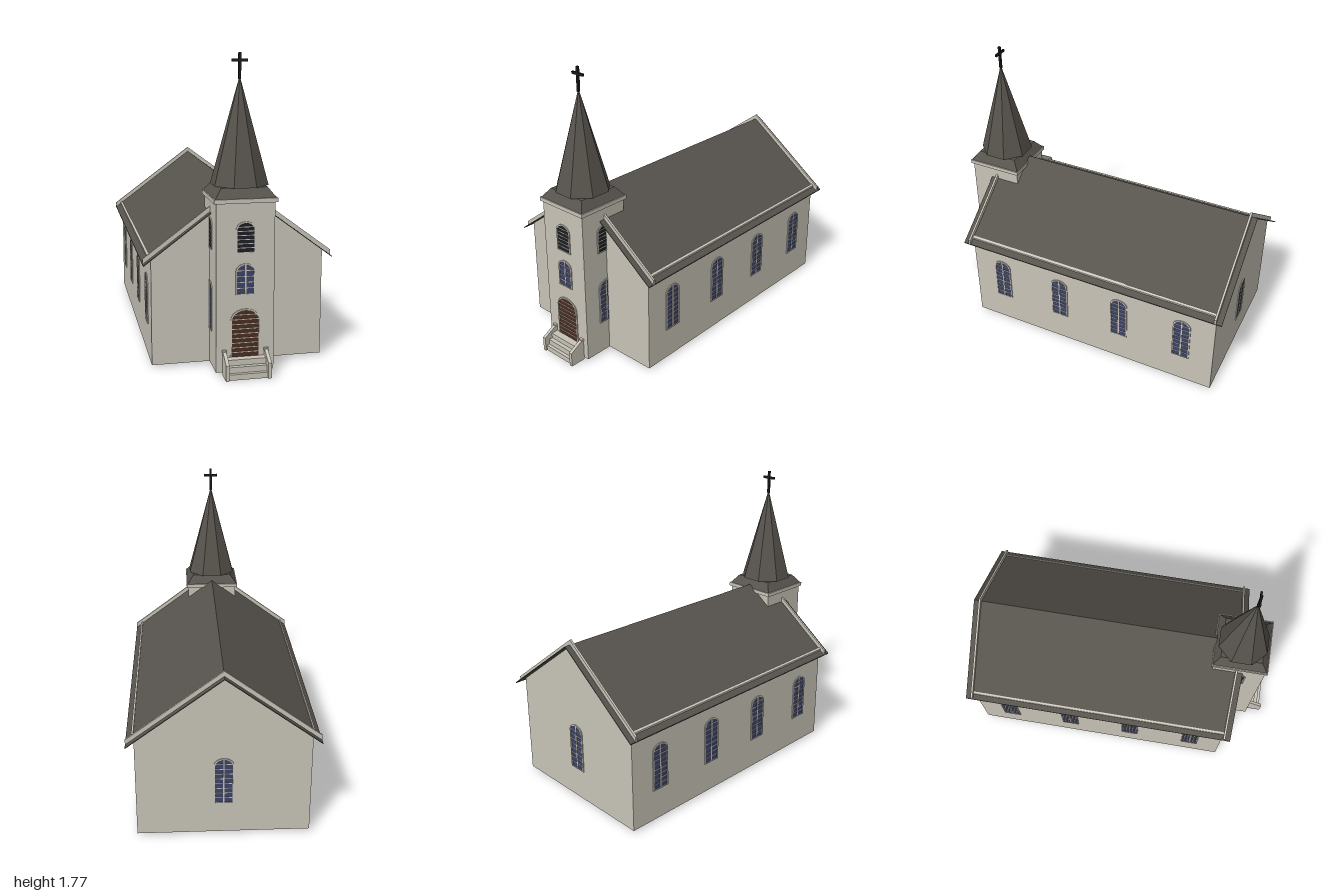
import * as THREE from 'three';

const mat = (name, color, side = THREE.FrontSide) => {
  const m = new THREE.MeshStandardMaterial({ color, side });
  m.name = name;
  return m;
};

export function createModel() {
  const church = new THREE.Group();
  church.name = 'church';
  const stone = mat('stone', 0xc8c4b8);
  const slate = mat('slate', 0x57534d);
  const glass = mat('glass', 0x3d4368);
  const louver = mat('louver', 0x1d2024);
  const wood = mat('doorWood', 0x4b2e22);
  const iron = mat('iron', 0x1b1b1d);

  const add = (parent, name, geo, material, x = 0, y = 0, z = 0) => {
    const mesh = new THREE.Mesh(geo, material);
    mesh.name = name;
    mesh.position.set(x, y, z);
    parent.add(mesh);
    return mesh;
  };
  // Box given by its limits
  const block = (parent, name, material, x0, x1, y0, y1, z0, z1) =>
    add(parent, name, new THREE.BoxGeometry(x1 - x0, y1 - y0, z1 - z0), material,
      (x0 + x1) / 2, (y0 + y1) / 2, (z0 + z1) / 2);
  // Outline in x and y, extruded from z0 to z1
  const slab = (parent, name, material, points, z0, z1) => {
    const shape = new THREE.Shape(points.map(([x, y]) => new THREE.Vector2(x, y)));
    const geo = new THREE.ExtrudeGeometry(shape, { depth: z1 - z0, bevelEnabled: false });
    return add(parent, name, geo, material, 0, 0, z0);
  };

  const base = 0.015, half = 0.5, front = 0.72, back = -0.955;
  const tw = 0.165, tBack = 0.57, tFront = 0.9, tMid = 0.735;
  const roofY = (x) => 1.02 - 0.743 * Math.abs(x);

  // Nave walls, open underneath
  const t = 0.008;
  for (const s of [-1, 1]) {
    const x0 = s > 0 ? half - t : -half;
    block(church, 'sideWall', stone, x0, x0 + t, base, roofY(half) - 0.004, back, front);
    slab(church, 'frontWall', stone, [[s * tw, base], [s * half, base],
      [s * half, roofY(half) - 0.005], [s * tw, roofY(tw) - 0.005]], front - t, front);
  }
  slab(church, 'backWall', stone, [[-half, base], [half, base], [half, roofY(half) - 0.005],
    [0, 1.015], [-half, roofY(half) - 0.005]], back, back + t);

  // Sloping strips that follow the roof pitch
  const slope = (name, material, s, x0, x1, z0, z1, top, bottom) =>
    slab(church, name, material, [[s * x0, roofY(x0) + bottom], [s * x1, roofY(x1) + bottom],
      [s * x1, roofY(x1) + top], [s * x0, roofY(x0) + top]], z0, z1);
  for (const s of [-1, 1]) {
    slope('roof', slate, s, 0, 0.547, -1, tBack, 0, -0.006);
    slope('roofBesideTower', slate, s, tw, 0.547, tBack, 0.765, 0, -0.006);
    slope('backRakeTrim', stone, s, 0, 0.547, -0.965, -0.952, 0.03, -0.004);
    slope('frontRakeTrim', stone, s, tw, 0.547, 0.717, 0.73, 0.03, -0.004);
    slope('eaveTrim', stone, s, 0.503, 0.515, -0.955, 0.72, 0.01, -0.004);
  }

  // Tower walls, with the back wall only above the roof
  block(church, 'towerFront', stone, -tw, tw, base, 0.98, tFront - t, tFront);
  block(church, 'towerBack', stone, -tw, tw, 0.86, 0.98, tBack, tBack + t);
  for (const s of [-1, 1]) {
    const x0 = s > 0 ? tw - t : -tw;
    block(church, 'towerSide', stone, x0, x0 + t, base, 0.98, tBack, tFront);
  }
  block(church, 'towerCornice', stone, -0.178, 0.178, 0.972, 0.996, tMid - 0.177, tMid + 0.177);

  // Flared cap and octagonal spire
  const cap = new THREE.CylinderGeometry(0.13 * Math.SQRT2, 0.172 * Math.SQRT2, 0.056, 4).toNonIndexed();
  cap.rotateY(Math.PI / 4);
  cap.computeVertexNormals();
  add(church, 'spireSkirt', cap, slate, 0, 1.023, tMid);
  const spire = new THREE.ConeGeometry(0.153 / Math.cos(Math.PI / 8), 0.6, 8).toNonIndexed();
  spire.rotateY(Math.PI / 8);
  spire.computeVertexNormals();
  add(church, 'spire', spire, slate, 0, 1.35, tMid);
  block(church, 'crossPost', iron, -0.007, 0.007, 1.63, 1.775, tMid - 0.007, tMid + 0.007);
  block(church, 'crossArm', iron, -0.045, 0.045, 1.725, 1.74, tMid - 0.006, tMid + 0.006);

  // Arched openings
  const arch = (Type, w, y0, y1, rise) => {
    const p = new Type();
    p.moveTo(-w, y0);
    p.lineTo(w, y0);
    p.lineTo(w, y1 - rise);
    p.absellipse(0, y1 - rise, w, rise, 0, Math.PI, false, 0);
    p.closePath();
    return p;
  };
  const extrude = (shape, depth) =>
    new THREE.ExtrudeGeometry(shape, { depth, bevelEnabled: false, curveSegments: 5 });
  const opening = (name, material, w, y0, y1, x, z, turn, rows, mullion) => {
    const g = new THREE.Group();
    g.name = name;
    g.position.set(x, 0, z);
    g.rotation.y = turn;
    church.add(g);
    const rise = w * 0.8;
    add(g, 'panel', extrude(arch(THREE.Shape, w, y0, y1, rise), 0.018), material, 0, 0, -0.016);
    const ring = arch(THREE.Shape, w + 0.007, y0 - 0.005, y1 + 0.007, rise + 0.003);
    ring.holes.push(arch(THREE.Path, w, y0, y1, rise));
    add(g, 'surround', extrude(ring, 0.006), stone);
    for (let i = 1; i < rows; i++) {
      const y = y0 + (y1 - y0) * i / rows;
      const k = Math.max(0, (y - (y1 - rise)) / rise);
      const hw = w * Math.sqrt(1 - k * k);
      block(g, 'bar', stone, -hw, hw, y - 0.002, y + 0.002, 0, 0.004);
    }
    if (mullion) block(g, 'mullion', stone, -0.004, 0.004, y0, y1, 0, 0.005);
  };
  const q = Math.PI / 2;
  for (const s of [-1, 1]) {
    for (const z of [0.515, 0.095, -0.325, -0.745])
      opening('naveWindow', glass, 0.05, 0.215, 0.498, s * half, z, s * q, 9, true);
    opening('towerSideWindow', glass, 0.05, 0.225, 0.498, s * tw, tMid, s * q, 9, true);
    opening('towerSideLouver', louver, 0.05, 0.70, 0.863, s * tw, tMid, s * q, 7, false);
  }
  opening('backWindow', glass, 0.05, 0.215, 0.498, 0, back, Math.PI, 9, true);
  opening('towerFrontWindow', glass, 0.048, 0.463, 0.628, 0, tFront, 0, 5, true);
  opening('towerFrontLouver', louver, 0.048, 0.70, 0.863, 0, tFront, 0, 7, false);
  opening('door', wood, 0.077, 0.1, 0.37, 0, tFront, 0, 10, false);

  // Entrance steps between sloping cheek walls
  [[0.1, 0.945], [0.067, 0.97], [0.033, 0.99]].forEach(([y, z], i, all) =>
    block(church, 'step', stone, -0.11, 0.11, 0, y, i ? all[i - 1][1] : tFront, z));
  for (const s of [-1, 1]) {
    // Side profile drawn in z and y, then turned to stand along z
    const cheek = slab(church, 'stepCheek', stone,
      [[-1, 0], [-0.9, 0], [-0.9, 0.14], [-0.91, 0.14], [-1, 0.09]], 0, 0.02);
    cheek.rotation.y = q;
    cheek.position.set(s * 0.119 - 0.01, 0, 0);
    block(church, 'cheekCap', stone, s * 0.119 - 0.013, s * 0.119 + 0.013, 0.13, 0.145, 0.9, 0.915);
  }
  return church;
}
